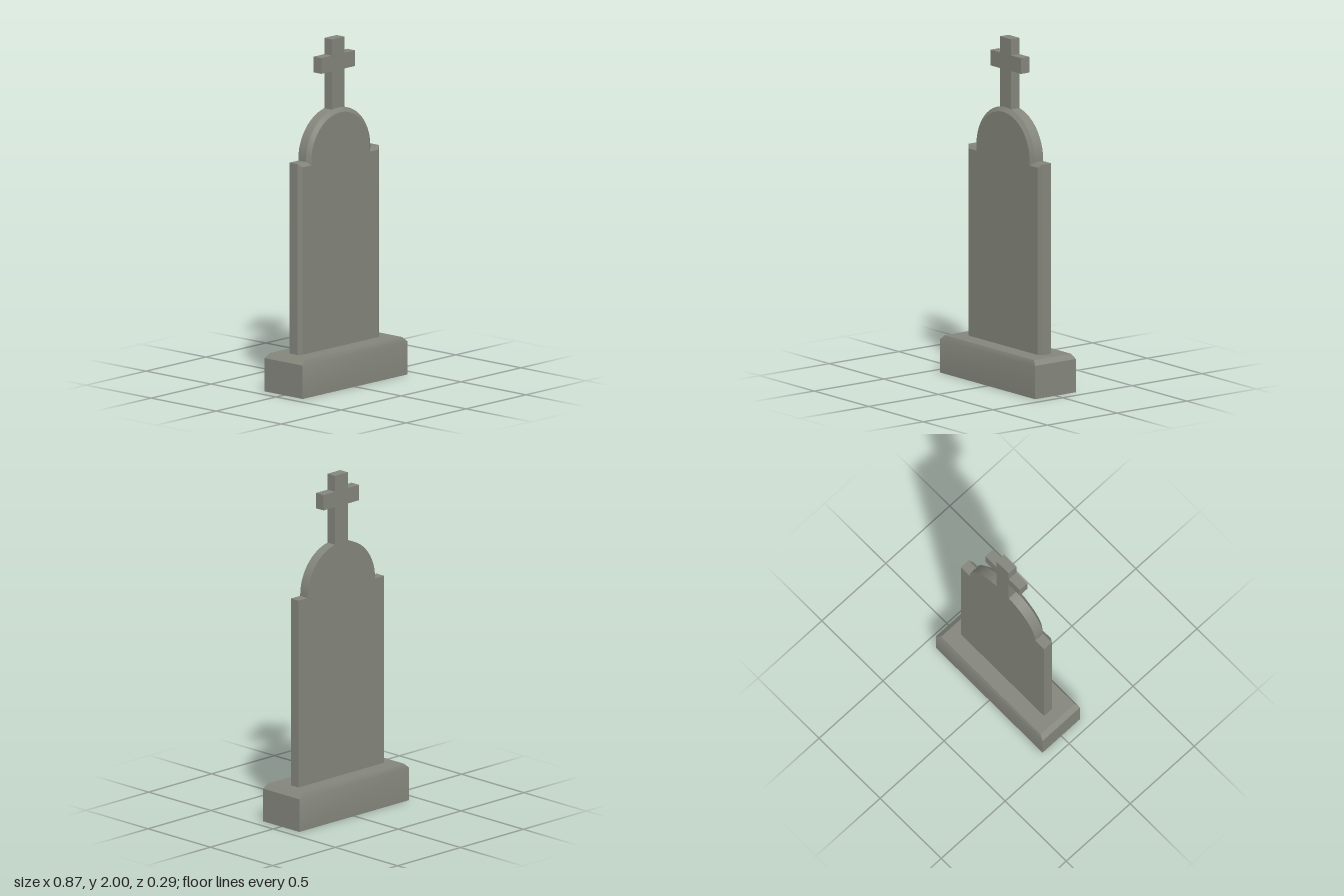
import * as THREE from 'three';
import { toCreasedNormals } from 'three/addons/utils/BufferGeometryUtils.js';

// Joins counter-clockwise outlines at rising z into a closed solid.
// Each section is { z, points }, all with the same number of points.
function loft(sections) {
  const n = sections[0].points.length;
  const positions = [];
  const index = [];
  for (const { z, points } of sections) {
    for (const [x, y] of points) positions.push(x, y, z);
  }
  for (let s = 0; s < sections.length - 1; s++) {
    for (let i = 0; i < n; i++) {
      const a = s * n + i;
      const b = s * n + (i + 1) % n;
      index.push(a, b, b + n, a, b + n, a + n);
    }
  }
  const cap = (section, offset, flip) => {
    const contour = section.points.map(([x, y]) => new THREE.Vector2(x, y));
    for (const [a, b, c] of THREE.ShapeUtils.triangulateShape(contour, [])) {
      index.push(offset + a, offset + (flip ? c : b), offset + (flip ? b : c));
    }
  };
  cap(sections[0], 0, true);
  cap(sections[sections.length - 1], (sections.length - 1) * n, false);
  const geometry = new THREE.BufferGeometry();
  geometry.setAttribute('position', new THREE.Float32BufferAttribute(positions, 3));
  geometry.setIndex(index);
  return toCreasedNormals(geometry, 0.5);
}

const rectangle = (w, d) => [[-w, -d], [w, -d], [w, d], [-w, d]];

// Tablet outline: straight sides, a shoulder step and a round arch
function tabletOutline(halfWidth, shoulderY, radius) {
  const archY = 1.33;
  const bottom = 0.215;
  const segments = 40;
  const points = [[-halfWidth, bottom], [halfWidth, bottom], [halfWidth, shoulderY], [radius, shoulderY]];
  for (let i = 0; i <= segments; i++) {
    const a = (Math.PI * i) / segments;
    points.push([radius * Math.cos(a), archY + radius * Math.sin(a)]);
  }
  points.push([-radius, shoulderY], [-halfWidth, shoulderY]);
  return points;
}

export function createModel() {
  const group = new THREE.Group();
  const stone = new THREE.MeshStandardMaterial({ color: 0x84867c });
  stone.name = 'grey stone';

  const add = (name, geometry) => {
    const mesh = new THREE.Mesh(geometry, stone);
    mesh.name = name;
    group.add(mesh);
    return mesh;
  };

  // Plinth with a chamfered top edge, lofted upward
  const plinth = loft([
    { z: 0, points: rectangle(0.436, 0.146) },
    { z: 0.193, points: rectangle(0.436, 0.146) },
    { z: 0.22, points: rectangle(0.407, 0.134) },
  ]);
  plinth.rotateX(-Math.PI / 2);
  add('plinth', plinth);

  // Tablet with a bevelled front edge and a flat back
  const back = -0.043;
  const bevel = 0.017;
  const outer = tabletOutline(0.341, 1.325, 0.268);
  const inner = tabletOutline(0.316, 1.305, 0.243);
  add('tablet', loft([
    { z: back, points: outer },
    { z: bevel, points: outer },
    { z: 0.035, points: inner },
  ]));

  // Cross standing on the arch
  const half = [[0.051, 1.593], [0.051, 1.815], [0.141, 1.815], [0.141, 1.906], [0.051, 1.906], [0.051, 2]];
  const cross = [...half, ...half.map(([x, y]) => [-x, y]).reverse()];
  add('cross', loft([
    { z: back, points: cross },
    { z: bevel, points: cross },
  ]));

  return group;
}
